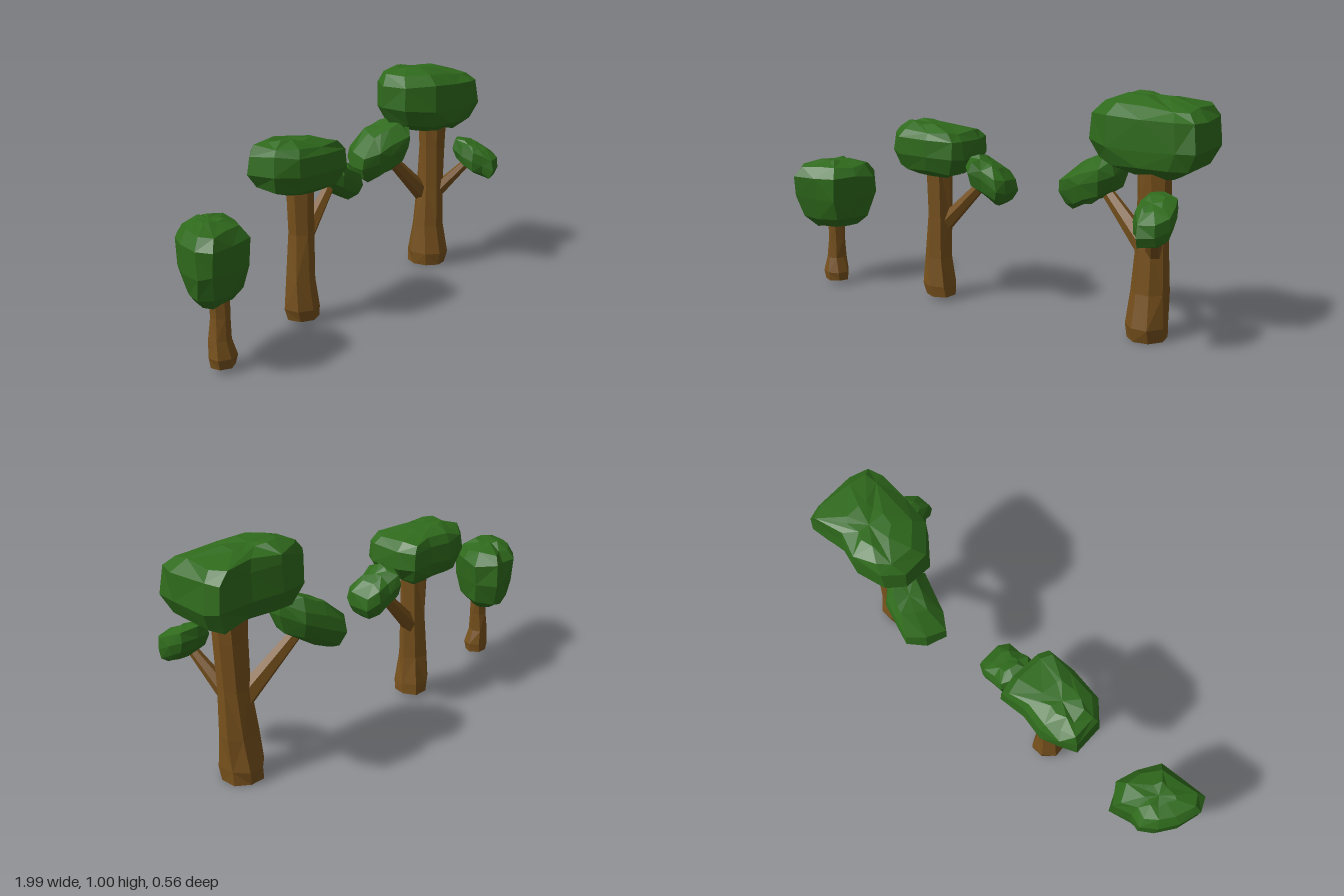
import * as THREE from 'three';

const leaf = new THREE.MeshStandardMaterial({ color: 0x2f6a1c, flatShading: true, roughness: 1 });
const bark = new THREE.MeshStandardMaterial({ color: 0x76501c, flatShading: true, roughness: 1 });

// small seeded wobble in -1..1
function wobbler(seed) {
  let s = seed * 7919 + 17;
  return () => {
    s = (s * 16807) % 2147483647;
    return (s / 2147483647) * 2 - 1;
  };
}

// skins a stack of rings (clockwise seen from above) and closes both ends
function loft(name, rings, material) {
  const pos = [];
  const tri = (...pts) => pts.forEach((p) => pos.push(p.x, p.y, p.z));
  const middle = (ring) =>
    ring.reduce((sum, p) => sum.add(p), new THREE.Vector3()).divideScalar(ring.length);
  const n = rings[0].length;
  const low = middle(rings[0]);
  const high = middle(rings[rings.length - 1]);
  for (let i = 0; i < n; i++) {
    const j = (i + 1) % n;
    for (let k = 0; k < rings.length - 1; k++) {
      const a = rings[k], b = rings[k + 1];
      if ((i + k) % 2) {
        tri(a[j], a[i], b[i]);
        tri(a[j], b[i], b[j]);
      } else {
        tri(a[j], a[i], b[j]);
        tri(a[i], b[i], b[j]);
      }
    }
    const top = rings[rings.length - 1];
    tri(rings[0][i], rings[0][j], low);
    tri(top[j], top[i], high);
  }
  const geo = new THREE.BufferGeometry();
  geo.setAttribute('position', new THREE.Float32BufferAttribute(pos, 3));
  geo.computeVertexNormals();
  const mesh = new THREE.Mesh(geo, material);
  mesh.name = name;
  return mesh;
}

// leaf mass: plan outline [x, z], layers [y, scale, shiftX, shiftZ], slope of the layers in x and z
function crown(name, plan, layers, [kx, kz] = [0, 0], seed = 1, rough = 0.008) {
  const rnd = wobbler(seed);
  const xs = plan.map((p) => p[0]), zs = plan.map((p) => p[1]);
  const cx = (Math.min(...xs) + Math.max(...xs)) / 2;
  const cz = (Math.min(...zs) + Math.max(...zs)) / 2;
  const rings = layers.map(([y, s, dx = 0, dz = 0]) =>
    plan.map(([px, pz]) => {
      const x = (px - cx) * s + dx, z = (pz - cz) * s + dz;
      const inset = s < 0.99 ? rough : rough * 0.3;
      return new THREE.Vector3(
        cx + x + rnd() * inset,
        y + kx * x + kz * z + rnd() * rough,
        cz + z + rnd() * inset
      );
    })
  );
  return loft(name, rings, leaf);
}

// trunk: rings [y, x, z, radiusX, radiusZ], slightly knotted
function trunk(name, sections, sides, seed) {
  const rnd = wobbler(seed);
  const rings = sections.map(([y, x, z, rx, rz], k) =>
    Array.from({ length: sides }, (_, i) => {
      const t = (i / sides) * Math.PI * 2 + k * 0.08 + 0.3;
      const r = 1.02 + rnd() * 0.07;
      return new THREE.Vector3(x - Math.cos(t) * rx * r, y, z - Math.sin(t) * rz * r);
    })
  );
  return loft(name, rings, bark);
}

// tapered branch between two points
function branch(name, from, to, r0, r1) {
  const a = new THREE.Vector3(...from), b = new THREE.Vector3(...to);
  const dir = b.clone().sub(a);
  const mesh = new THREE.Mesh(new THREE.CylinderGeometry(r1, r0, dir.length(), 6, 2), bark);
  mesh.position.copy(a).add(b).multiplyScalar(0.5);
  mesh.quaternion.setFromUnitVectors(new THREE.Vector3(0, 1, 0), dir.normalize());
  mesh.name = name;
  return mesh;
}

function tree(name, ...parts) {
  const group = new THREE.Group();
  group.name = name;
  group.add(...parts);
  return group;
}

export function createModel() {
  const model = new THREE.Group();
  model.name = 'trees';

  // short round tree
  model.add(tree('smallTree',
    trunk('smallTrunk', [
      [0.02, -0.82, 0.005, 0.055, 0.05], [0.06, -0.82, 0.005, 0.06, 0.055],
      [0.13, -0.825, 0, 0.045, 0.045], [0.22, -0.82, 0, 0.04, 0.04], [0.34, -0.82, 0, 0.04, 0.04],
    ], 7, 3),
    crown('smallCrown', [
      [-1, 0.06], [-0.97, -0.04], [-0.92, -0.12], [-0.86, -0.17], [-0.8, -0.15], [-0.72, -0.18],
      [-0.66, -0.09], [-0.69, 0], [-0.75, 0.1], [-0.86, 0.11], [-0.97, 0.12],
    ], [
      [0.285, 0.5], [0.33, 0.8], [0.43, 0.98], [0.53, 1], [0.58, 0.78], [0.605, 0.35],
    ], [0, 0], 5)
  ));

  // middle tree with one side branch
  model.add(tree('mediumTree',
    trunk('mediumTrunk', [
      [0.02, -0.255, -0.055, 0.07, 0.07], [0.07, -0.26, -0.055, 0.075, 0.075],
      [0.2, -0.265, -0.055, 0.062, 0.062], [0.4, -0.26, -0.055, 0.055, 0.055],
      [0.65, -0.26, -0.055, 0.06, 0.06],
    ], 7, 8),
    branch('mediumBranch', [-0.27, 0.32, -0.06], [-0.02, 0.58, -0.065], 0.042, 0.022),
    crown('mediumCrown', [
      [-0.48, -0.15], [-0.42, -0.18], [-0.33, -0.21], [-0.22, -0.19], [-0.1, -0.2], [-0.08, -0.12],
      [-0.08, 0.03], [-0.11, 0.08], [-0.25, 0.08], [-0.4, 0.06], [-0.48, -0.01],
    ], [
      [0.59, 0.5, 0.01], [0.615, 0.82], [0.68, 1], [0.755, 0.97], [0.79, 0.83], [0.815, 0.42, -0.04],
    ], [-0.03, 0], 11),
    crown('mediumSideCrown', [
      [-0.09, -0.11], [-0.06, -0.16], [0, -0.15], [0.06, -0.15], [0.11, -0.12],
      [0.105, -0.01], [0.08, 0.03], [0, 0.02], [-0.06, 0.03], [-0.1, -0.02],
    ], [
      [0.51, 0.5, 0.01], [0.54, 0.85], [0.59, 1], [0.635, 0.9], [0.665, 0.45],
    ], [-0.5, 0], 13, 0.006)
  ));

  // tall tree with two branches
  model.add(tree('largeTree',
    trunk('largeTrunk', [
      [0, 0.755, -0.045, 0.082, 0.09], [0.06, 0.757, -0.045, 0.085, 0.1],
      [0.2, 0.762, -0.045, 0.076, 0.078], [0.4, 0.77, -0.042, 0.066, 0.066],
      [0.6, 0.77, -0.04, 0.066, 0.066], [0.78, 0.77, -0.04, 0.07, 0.07],
    ], 8, 21),
    branch('largeSideBranch', [0.77, 0.33, -0.06], [0.5, 0.6, -0.14], 0.048, 0.024),
    branch('largeFrontBranch', [0.78, 0.35, -0.03], [0.84, 0.55, 0.15], 0.038, 0.018),
    crown('largeCrown', [
      [0.49, -0.15], [0.55, -0.22], [0.68, -0.25], [0.8, -0.22], [0.97, -0.24], [0.99, -0.18],
      [0.99, 0], [0.975, 0.1], [0.9, 0.11], [0.75, 0.1], [0.6, 0.08], [0.49, -0.02],
    ], [
      [0.695, 0.45, 0.03, 0.02], [0.73, 0.84, 0, 0.01], [0.81, 1], [0.92, 0.98],
      [0.965, 0.82, 0, -0.02], [0.992, 0.38, -0.02, -0.04],
    ], [-0.02, -0.03], 23, 0.009),
    crown('largeSideCrown', [
      [0.3, -0.13], [0.33, -0.22], [0.39, -0.28], [0.46, -0.26], [0.56, -0.23],
      [0.62, -0.15], [0.59, -0.05], [0.53, -0.02], [0.43, -0.05], [0.37, -0.08],
    ], [
      [0.525, 0.5, -0.02], [0.55, 0.82], [0.61, 1], [0.665, 0.95], [0.715, 0.55, 0.03],
    ], [0.4, 0], 29),
    crown('largeFrontCrown', [
      [0.77, 0.13], [0.79, 0.07], [0.85, 0.06], [0.91, 0.08], [0.93, 0.14],
      [0.93, 0.21], [0.89, 0.27], [0.82, 0.28], [0.8, 0.23], [0.77, 0.19],
    ], [
      [0.488, 0.5, 0.01], [0.51, 0.86], [0.55, 1], [0.595, 0.92], [0.618, 0.5, -0.01],
    ], [0, -0.45], 31, 0.006)
  ));

  return model;
}
